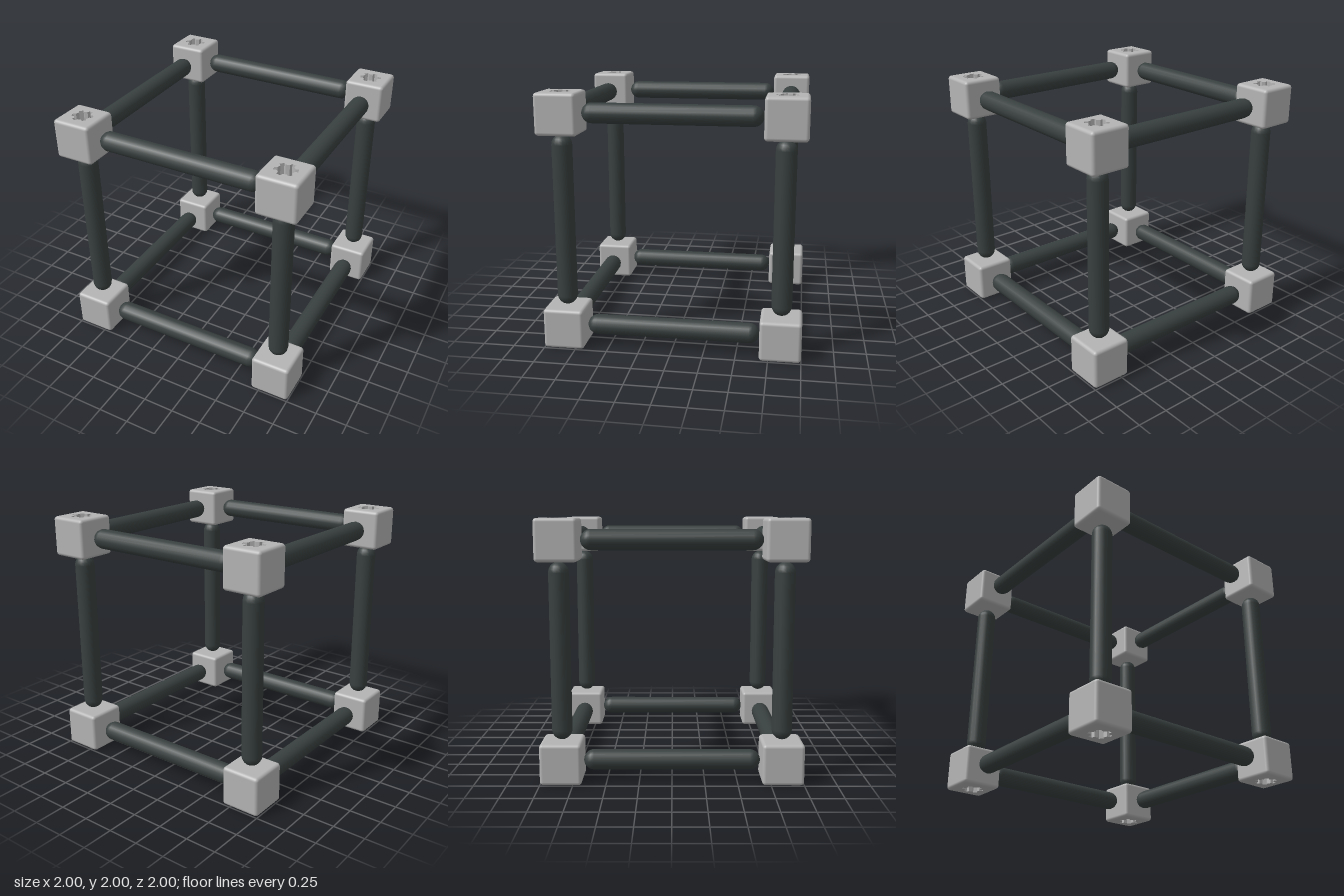
import * as THREE from 'three';
import { RoundedBoxGeometry } from 'three/addons/geometries/RoundedBoxGeometry.js';

const SIZE = 0.318, HALF = SIZE / 2, ROUND = 0.027, C = 1 - HALF;
const DEPTH = 0.1;

// six-toothed outline of the socket
function socketOutline() {
  const pts = [];
  for (let i = 0; i < 6; i++) {
    const a = i * Math.PI / 3 + 0.25;
    for (const [r, d] of [[0.064, -0.3], [0.086, -0.2], [0.086, 0.2], [0.064, 0.3]]) {
      pts.push(new THREE.Vector2(r * Math.cos(a + d), r * Math.sin(a + d)));
    }
  }
  return pts;
}

// rounded box without its flat top face
function openBox() {
  const src = new RoundedBoxGeometry(SIZE, SIZE, SIZE, 3, ROUND);
  const geo = src.index ? src.toNonIndexed() : src;
  const p = geo.attributes.position, n = geo.attributes.normal;
  const pos = [], nor = [];
  for (let i = 0; i < p.count; i += 3) {
    if ([0, 1, 2].every(k => p.getY(i + k) > HALF - 1e-4)) continue;
    for (let k = 0; k < 3; k++) {
      pos.push(p.getX(i + k), p.getY(i + k), p.getZ(i + k));
      nor.push(n.getX(i + k), n.getY(i + k), n.getZ(i + k));
    }
  }
  const out = new THREE.BufferGeometry();
  out.setAttribute('position', new THREE.Float32BufferAttribute(pos, 3));
  out.setAttribute('normal', new THREE.Float32BufferAttribute(nor, 3));
  return out;
}

// flat face with the socket cut out of it
function cutFace(outline) {
  const e = HALF - ROUND;
  const shape = new THREE.Shape([[-e, -e], [e, -e], [e, e], [-e, e]].map(q => new THREE.Vector2(...q)));
  shape.holes.push(new THREE.Path(outline));
  return new THREE.ShapeGeometry(shape).rotateX(-Math.PI / 2).translate(0, HALF, 0);
}

// inward-facing walls of the socket
function socketWalls(outline) {
  const pos = [];
  outline.forEach((a, i) => {
    const b = outline[(i + 1) % outline.length], t = HALF, f = HALF - DEPTH;
    pos.push(a.x, t, -a.y, b.x, t, -b.y, b.x, f, -b.y);
    pos.push(a.x, t, -a.y, b.x, f, -b.y, a.x, f, -a.y);
  });
  const geo = new THREE.BufferGeometry();
  geo.setAttribute('position', new THREE.Float32BufferAttribute(pos, 3));
  geo.computeVertexNormals();
  return geo;
}

export function createModel() {
  const model = new THREE.Group();
  model.name = 'cubeFrame';
  const grey = new THREE.MeshStandardMaterial({ color: 0xb4b4b4 });
  grey.name = 'lightGrey';
  const dark = new THREE.MeshStandardMaterial({ color: 0x38403f });
  dark.name = 'darkSlate';

  const outline = socketOutline();
  const parts = {
    cornerBlock: openBox(),
    socketFace: cutFace(outline),
    socketWalls: socketWalls(outline),
    socketFloor: new THREE.ShapeGeometry(new THREE.Shape(outline))
      .rotateX(-Math.PI / 2).translate(0, HALF - DEPTH, 0),
  };

  // eight corner cubes, sockets facing outwards at top and bottom
  for (const x of [-C, C]) for (const y of [-C, C]) for (const z of [-C, C]) {
    const corner = new THREE.Group();
    corner.name = 'corner';
    for (const [name, geo] of Object.entries(parts)) {
      const mesh = new THREE.Mesh(geo, grey);
      mesh.name = name;
      corner.add(mesh);
    }
    if (y < 0) corner.rotation.x = Math.PI;
    corner.position.set(x, y + 1, z);
    model.add(corner);
  }

  // twelve round-ended rods, four along each axis
  const r = 0.0785;
  const rodGeo = new THREE.CapsuleGeometry(r, 2 * (0.678 - r), 5, 16);
  for (const axis of ['x', 'y', 'z']) for (const a of [-C, C]) for (const b of [-C, C]) {
    const rod = new THREE.Mesh(rodGeo, dark);
    rod.name = axis + 'Rod';
    if (axis === 'x') { rod.rotation.z = Math.PI / 2; rod.position.set(0, 1 + a, b); }
    if (axis === 'y') rod.position.set(a, 1, b);
    if (axis === 'z') { rod.rotation.x = Math.PI / 2; rod.position.set(a, 1 + b, 0); }
    model.add(rod);
  }
  return model;
}
